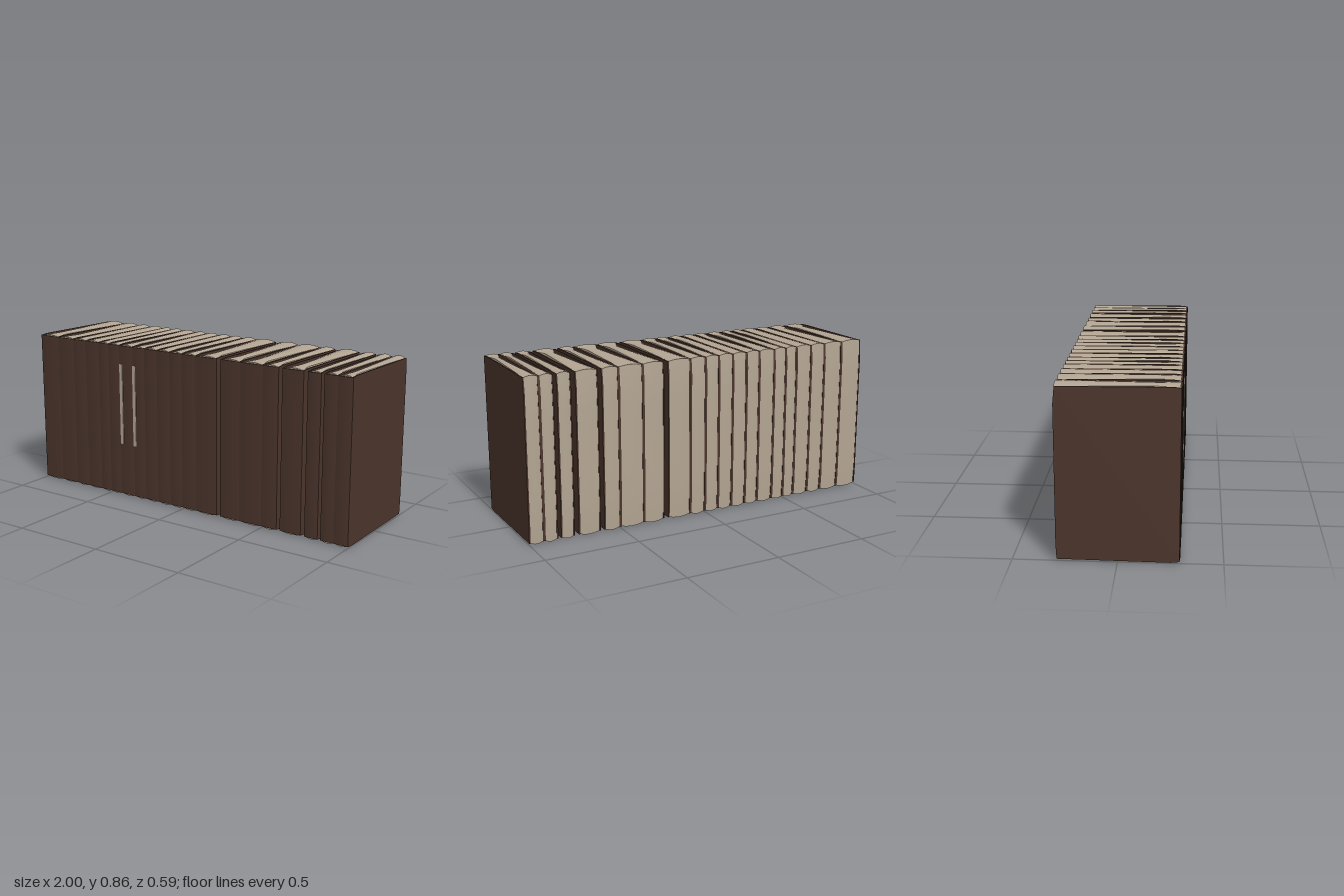
import * as THREE from 'three';

const BACK = -0.29, FRONT = 0.288, BOARD = 0.007;

// Left edge, right edge, and whether the pages pinch away from each board
const BOOKS = [
  [-1, -0.87, 1, 1], [-0.87, -0.755, 1, 0], [-0.755, -0.665, 0, 0], [-0.665, -0.57, 0, 0],
  [-0.57, -0.5, 0, 1], [-0.5, -0.425, 1, 1], [-0.425, -0.33, 1, 1], [-0.33, -0.25, 1, 0],
  [-0.25, -0.165, 0, 0], [-0.165, -0.08, 0, 1], [-0.08, 0, 1, 1], [0, 0.09, 1, 1],
  [0.09, 0.222, 1, 1], [0.245, 0.365, 1, 1], [0.365, 0.5, 1, 1], [0.5, 0.592, 1, 1],
  [0.612, 0.733, 1, 1], [0.755, 0.83, 1, 1], [0.846, 0.92, 1, 1], [0.92, 1, 1, 1],
];

// How far the pages pull in: a wedge toward the spine, then a flare at the spine
function pinch(z) {
  return z < 0.2 ? (z - BACK) / (0.2 - BACK) : Math.max(0, 1 - (z - 0.2) / 0.075);
}

// Page block: a gridded box, tapered in plan, with domed top, bottom and fore edge
function pageBlock(left, right, pinchLeft, pinchRight) {
  const geo = new THREE.BoxGeometry(2, 2, 2, 6, 8, 16);
  const pos = geo.attributes.position;
  const inset = Math.min(0.03, (right - left) * 0.27);
  for (let i = 0; i < pos.count; i++) {
    const u = pos.getX(i), v = pos.getY(i), w = pos.getZ(i);
    const dome = 1 - u * u;
    let z = THREE.MathUtils.lerp(BACK, FRONT, (w + 1) / 2);
    const p = pinch(z) * inset;
    const a = left + BOARD * 0.8 + p * pinchLeft;
    const b = right - BOARD * 0.8 - p * pinchRight;
    if (w < 0) z -= -w * (0.005 * dome - 0.006 * v ** 8);
    pos.setXYZ(i, THREE.MathUtils.lerp(a, b, (u + 1) / 2), 0.43 + v * (0.421 + 0.008 * dome), z);
  }
  geo.computeVertexNormals();
  return geo;
}

export function createModel() {
  const cover = new THREE.MeshStandardMaterial({ color: 0x4b352c });
  cover.name = 'brown cover';
  const paper = new THREE.MeshStandardMaterial({ color: 0xb3a593 });
  paper.name = 'beige paper';
  const model = new THREE.Group();
  model.name = 'bookRow';

  const add = (parent, name, geo, mat, x = 0, y = 0, z = 0) => {
    const mesh = new THREE.Mesh(geo, mat);
    mesh.name = name;
    mesh.position.set(x, y, z);
    parent.add(mesh);
  };

  BOOKS.forEach(([left, right, pl, pr], i) => {
    const book = new THREE.Group();
    book.name = 'book' + (i + 1);
    model.add(book);
    add(book, 'pages', pageBlock(left, right, pl, pr), paper);

    // Straight boards with slightly clipped corners
    const outline = new THREE.Shape([
      [-0.288, 0.009], [0.25, 0.004], [0.285, 0.008], [0.292, 0.016],
      [0.292, 0.846], [0.285, 0.853], [0.25, 0.856], [-0.284, 0.851], [-0.292, 0.77], [-0.292, 0.09],
    ].map(([z, y]) => new THREE.Vector2(-z, y)));
    const board = new THREE.ExtrudeGeometry(outline, { depth: BOARD, bevelEnabled: false });
    board.rotateY(Math.PI / 2);
    add(book, 'leftBoard', board, cover, left);
    add(book, 'rightBoard', board, cover, right - BOARD);

    // Gently rounded spine
    const mid = (left + right) / 2;
    const s = new THREE.Shape();
    s.moveTo(left, -0.286);
    s.lineTo(right, -0.286);
    s.lineTo(right, -0.292);
    s.quadraticCurveTo(mid, -0.299, left, -0.292);
    const spine = new THREE.ExtrudeGeometry(s, { depth: 0.842, bevelEnabled: false, curveSegments: 8 });
    spine.rotateX(-Math.PI / 2);
    spine.scale(1, 1, -1);
    // Mirroring in z reverses the corner order, so swap it back
    const p = spine.attributes.position;
    for (let k = 0; k < p.count; k += 3) {
      const a = [p.getX(k), p.getY(k), p.getZ(k)];
      p.setXYZ(k, p.getX(k + 1), p.getY(k + 1), p.getZ(k + 1));
      p.setXYZ(k + 1, ...a);
    }
    // Bring the spine to the front face whichever way the outline faced
    spine.computeBoundingBox();
    if (spine.boundingBox.max.z < 0) spine.rotateY(Math.PI).translate(2 * mid, 0, 0);
    spine.computeVertexNormals();
    add(book, 'spine', spine, cover, 0, 0.01, 0);
  });

  // Narrow pale strips on the spines
  for (const x of [-0.41, -0.32]) {
    add(model, 'spineStrip', new THREE.BoxGeometry(0.02, 0.45, 0.008), paper, x, 0.525, 0.294);
  }
  return model;
}
